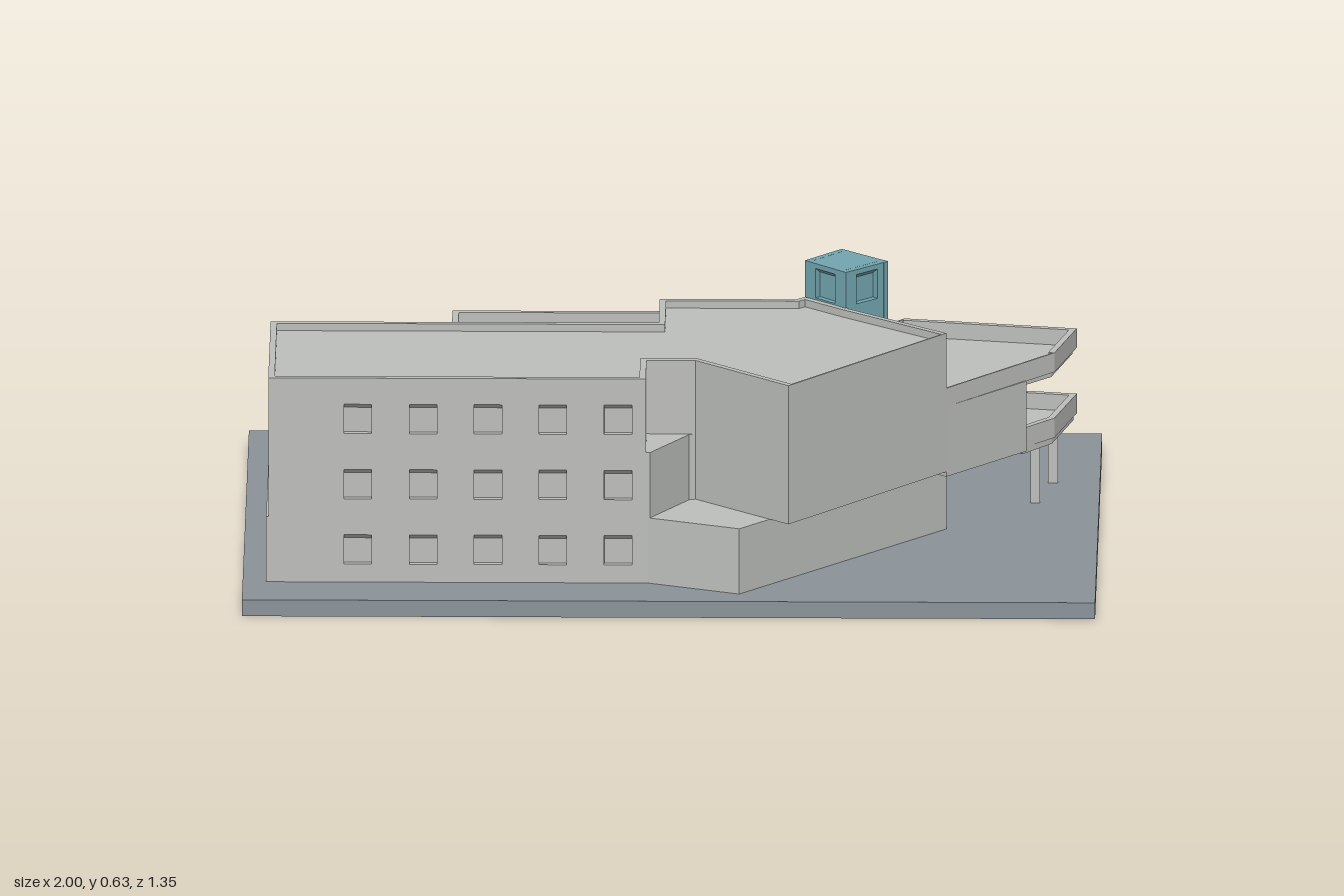
import * as THREE from 'three';

const concrete = new THREE.MeshStandardMaterial({ color: 0xbcbebb });
concrete.name = 'concrete';
const slate = new THREE.MeshStandardMaterial({ color: 0x8a9299 });
slate.name = 'slate';
const teal = new THREE.MeshStandardMaterial({ color: 0x72a5b0 });
teal.name = 'teal';

const DEPTH = 0.015; // depth of window recesses and parapet thickness

function addMesh(parent, name, geometry, material) {
  const mesh = new THREE.Mesh(geometry, material);
  mesh.name = name;
  parent.add(mesh);
  return mesh;
}

// Vertical prism over a plan outline of [x, z] points
function prism(parent, name, plan, y0, y1, material = concrete) {
  const shape = new THREE.Shape(plan.map(([x, z]) => new THREE.Vector2(x, -z)));
  const geometry = new THREE.ExtrudeGeometry(shape, { depth: y1 - y0, bevelEnabled: false });
  geometry.rotateX(-Math.PI / 2).translate(0, y0, 0);
  return addMesh(parent, name, geometry, material);
}

// Shift an open plan path inwards with mitred corners
function inset(path, t) {
  const normals = path.slice(1).map(([x, z], i) => {
    const dx = x - path[i][0], dz = z - path[i][1], l = Math.hypot(dx, dz);
    return [dz / l, -dx / l];
  });
  return path.map(([x, z], i) => {
    const a = normals[Math.max(i - 1, 0)], b = normals[Math.min(i, normals.length - 1)];
    const k = t / (1 + a[0] * b[0] + a[1] * b[1]);
    return [x + (a[0] + b[0]) * k, z + (a[1] + b[1]) * k];
  });
}

function parapet(parent, name, path, y0, y1, t = DEPTH) {
  prism(parent, name, [...path, ...inset(path, t).reverse()], y0, y1);
}

// Wall panel from a to b with recessed windows that have sloping heads
function facade(parent, name, a, b, y0, y1, centres, sill, material = concrete) {
  const w = 0.065, h = 0.072;
  const dx = b[0] - a[0], dz = b[1] - a[1], length = Math.hypot(dx, dz);
  const group = new THREE.Group();
  group.name = name;
  group.position.set(a[0], 0, a[1]);
  group.rotation.y = Math.atan2(-dz, dx);
  const rect = (C, x0, x1, ya, yb) => new C([[x0, ya], [x1, ya], [x1, yb], [x0, yb]].map(p => new THREE.Vector2(...p)));
  const wall = rect(THREE.Shape, 0, length, y0, y1);
  for (const c of centres) {
    wall.holes.push(rect(THREE.Path, c - w / 2, c + w / 2, sill, sill + h));
    // triangular head, extruded across the opening
    const head = new THREE.Shape([[0, 0], [DEPTH, 0], [DEPTH, -0.012]].map(p => new THREE.Vector2(...p)));
    const geometry = new THREE.ExtrudeGeometry(head, { depth: w, bevelEnabled: false });
    geometry.rotateY(Math.PI / 2).translate(c - w / 2, sill + h, 0);
    addMesh(group, 'windowHead', geometry, material);
  }
  const panel = new THREE.ExtrudeGeometry(wall, { depth: DEPTH, bevelEnabled: false });
  addMesh(group, 'windowWall', panel.translate(0, 0, -DEPTH), material);
  parent.add(group);
}

export function createModel() {
  const model = new THREE.Group();
  model.name = 'building';

  const ground = addMesh(model, 'basePlate', new THREE.BoxGeometry(2, 0.04, 1.35), slate);
  ground.position.y = 0.02;

  // Three storeys; window walls are added in front of these cores
  prism(model, 'groundStorey', [
    [0.645, 0.09], [0.45, -0.07], [0.3, -0.1], [-0.03, -0.1], [-0.03, 0.035], [-0.945, 0.035],
    [-0.945, 0.515], [-0.05, 0.515], [-0.05, 0.53], [0.165, 0.615],
  ], 0.04, 0.2);
  prism(model, 'middleStorey', [
    [0.645, 0.155], [0.41, -0.04], [0.31, -0.13], [0.29, -0.11], [-0.03, -0.11], [-0.03, 0.035],
    [-0.94, 0.035], [-0.94, 0.515], [-0.055, 0.515], [-0.045, 0.53], [0.045, 0.385], [0.06, 0.38], [0.28, 0.578],
  ], 0.2, 0.36);
  prism(model, 'upperStorey', [
    [0.645, 0.155], [0.41, -0.04], [0.31, -0.13], [0.29, -0.11], [-0.03, -0.11], [-0.03, 0.095],
    [-0.94, 0.095], [-0.94, 0.515], [-0.055, 0.515], [-0.055, 0.38], [0.06, 0.38], [0.28, 0.578],
  ], 0.36, 0.522);

  // Front and back window walls
  const frontX = [-0.73, -0.577, -0.425, -0.273, -0.12];
  const backX = [-0.75, -0.575, -0.4, -0.23];
  [[0.04, 0.2, 0.02], [0.2, 0.36, 0.02], [0.36, 0.522, 0.08]].forEach(([y0, y1, backZ], i) => {
    const left = i === 0 ? -0.945 : -0.94, right = i === 2 ? -0.055 : -0.045;
    const sill = 0.084 + 0.16 * i;
    facade(model, 'frontWindowWall', [left, 0.53], [right, 0.53], y0, y1, frontX.map(x => x - left), sill);
    facade(model, 'backWindowWall', [-0.03, backZ], [left, backZ], y0, y1, backX.map(x => -0.03 - x), sill);
  });

  // Main roof edge
  parapet(model, 'roofParapet', [
    [0.645, 0.155], [0.41, -0.04], [0.31, -0.13], [0.29, -0.11], [-0.03, -0.11], [-0.03, 0.08],
    [-0.94, 0.08], [-0.94, 0.53], [-0.055, 0.53], [-0.055, 0.38], [0.06, 0.38], [0.28, 0.578],
  ], 0.52, 0.54);
  parapet(model, 'roofSideEdge', [[0.28, 0.578], [0.645, 0.155]], 0.52, 0.54, 0.004);

  // Two stacked terraces at the back
  const lower = [[0.29, -0.11], [0.29, -0.26], [0.18, -0.26], [0.18, -0.63], [-0.525, -0.63],
    [-0.525, -0.27], [-0.835, -0.27], [-0.835, 0.02]];
  const upper = [[-0.02, -0.11], [-0.02, -0.45], [-0.52, -0.45], [-0.52, -0.27], [-0.835, -0.27], [-0.835, 0.08]];
  for (const [name, path, inner, y] of [
    ['lowerTerrace', lower, [0.29, 0.02], 0.2],
    ['upperTerrace', upper, [-0.02, 0.08], 0.36],
  ]) {
    prism(model, name + 'Slab', [...inset(path, 0.006), inner], y - 0.018, y + 0.006);
    parapet(model, name + 'Parapet', path, y - 0.003, y + 0.045);
  }

  // Angled wing with roof and balcony
  prism(model, 'wingBody', [[0.645, 0.155], [0.83, -0.05], [0.52, -0.36], [0.4, -0.22], [0.41, -0.04]], 0.188, 0.36);
  const edge = [[0.895, -0.13], [0.945, -0.325], [0.54, -0.4]];
  const thinEdge = [[0.645, 0.155], [0.895, -0.13]];
  const backEdge = [[0.54, -0.4], [0.4, -0.23]];
  prism(model, 'wingRoof', [[0.645, 0.155], ...edge, [0.4, -0.23], [0.33, -0.13], [0.41, -0.04]], 0.358, 0.366);
  prism(model, 'wingRoofSoffit', [[0.82, -0.06], ...inset(edge, 0.008), [0.52, -0.36]], 0.345, 0.36);
  parapet(model, 'wingRoofParapet', edge, 0.358, 0.405);
  parapet(model, 'wingRoofFrontEdge', thinEdge, 0.358, 0.405, 0.004);
  parapet(model, 'wingRoofBackEdge', backEdge, 0.358, 0.405, 0.004);
  prism(model, 'balconySlab', [[0.82, -0.045], ...inset(edge, 0.006), [0.5, -0.35]], 0.182, 0.206);
  parapet(model, 'balconyParapet', [[0.82, -0.045], ...edge, [0.51, -0.362]], 0.197, 0.245);

  // Columns under the terrace and balcony
  for (const [x, z] of [[0.85, -0.13], [0.89, -0.29], [0.56, -0.357], [0.155, -0.603], [-0.5, -0.603], [-0.805, -0.243]]) {
    const column = addMesh(model, 'column', new THREE.BoxGeometry(0.023, 0.15, 0.023), concrete);
    column.position.set(x, 0.115, z);
  }

  // Lift tower with a window on each face
  const corners = [[0.31, -0.135], [0.407, -0.04], [0.505, -0.13], [0.395, -0.228]];
  const cx = 0.404, cz = -0.133;
  prism(model, 'towerCore', corners.map(([x, z]) => [cx + (x - cx) * 0.78, cz + (z - cz) * 0.78]), 0.04, 0.628, teal);
  corners.forEach((a, i) => {
    const b = corners[(i + 1) % 4];
    const half = Math.hypot(b[0] - a[0], b[1] - a[1]) / 2;
    facade(model, 'towerWall', a, b, 0.04, 0.628, [half], 0.544, teal);
  });

  return model;
}
